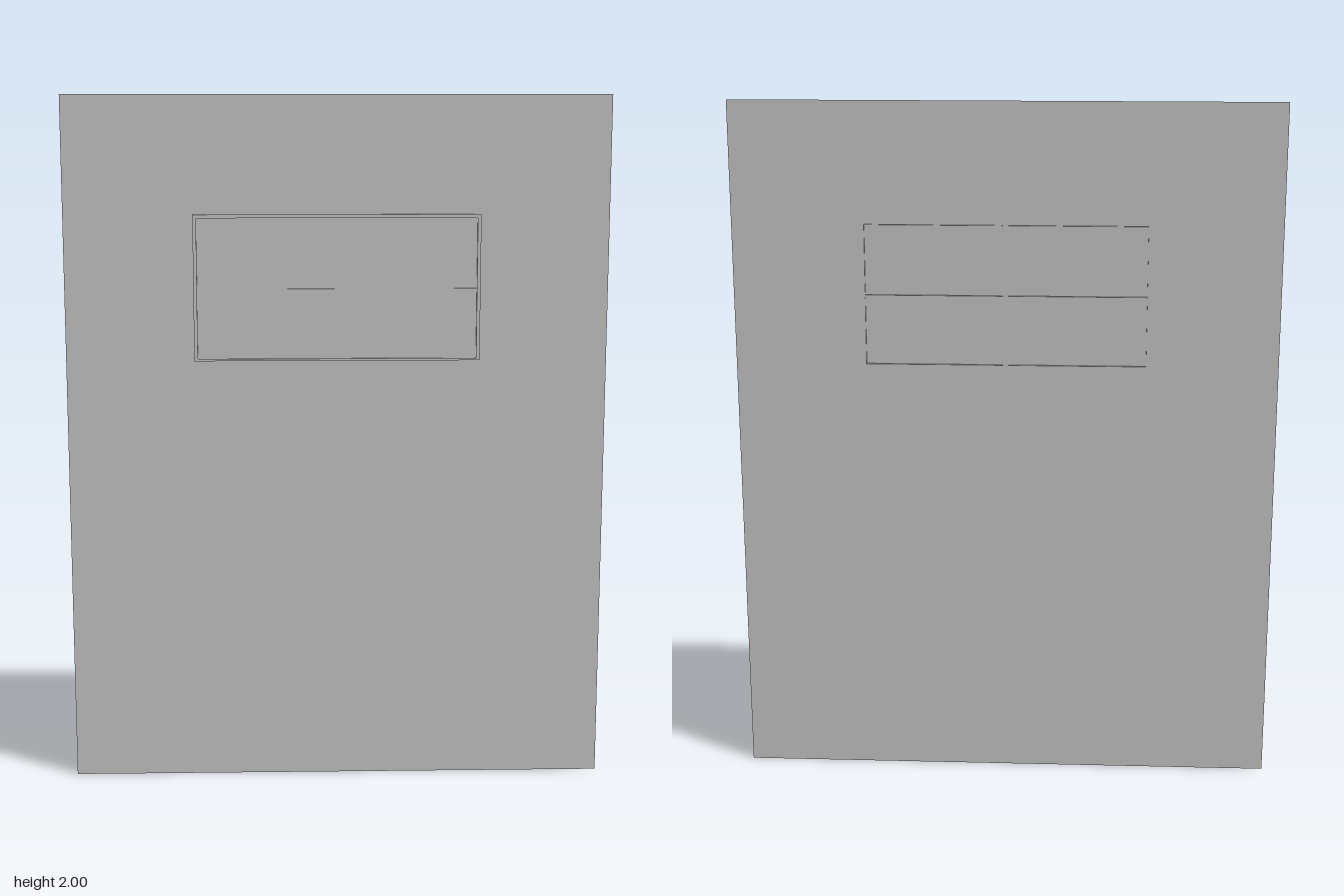
import * as THREE from 'three';

export function createModel() {
  const group = new THREE.Group();
  const mat = new THREE.MeshStandardMaterial({ color: 0xcccccc, side: THREE.DoubleSide, flatShading: true });
  const add = (name, geometry, x, y, z) => {
    const mesh = new THREE.Mesh(geometry, mat);
    mesh.name = name;
    mesh.position.set(x, y, z);
    group.add(mesh);
    return mesh;
  };
  const rect = (target, x0, y0, x1, y1) =>
    target.moveTo(x0, y0).lineTo(x1, y0).lineTo(x1, y1).lineTo(x0, y1).closePath();

  const cx = 0.40, y0 = 1.253, y1 = 1.655, cy = (y0 + y1) / 2;
  const back = -0.0075, front = 0.0075, gap = 0.008;

  // thin door sheet with a window opening
  const sheet = rect(new THREE.Shape(), -0.777, 0, 0.777, 2);
  sheet.holes.push(rect(new THREE.Path(), -cx, y0, cx, y1));
  add('panel', new THREE.ShapeGeometry(sheet), 0, 0, 0);

  // raised window surround
  const ring = rect(new THREE.Shape(), -0.41, 1.247, 0.41, 1.665);
  ring.holes.push(rect(new THREE.Path(), -cx, y0, cx, y1));
  add('windowFrame', new THREE.ExtrudeGeometry(ring, { depth: front, bevelEnabled: false }), 0, 0, 0);

  // window pane
  add('windowPane', new THREE.PlaneGeometry(2 * cx, y1 - y0), 0, cy, 0);

  // paper-thin fins: inner rim and crossing bars, broken at the middle
  const depth = 0.0115, z = back + depth / 2;
  const w = cx - gap, h = (y1 - y0) / 2 - gap;
  for (const s of [-1, 1]) {
    for (const y of [y0, cy, y1]) {
      add('horizontalBar', new THREE.PlaneGeometry(w, depth), s * (gap + w / 2), y, z).rotation.x = -Math.PI / 2;
    }
    for (const x of [-cx, 0, cx]) {
      add('verticalBar', new THREE.PlaneGeometry(depth, h), x, cy + s * (gap + h / 2), z).rotation.y = Math.PI / 2;
    }
  }
  return group;
}
